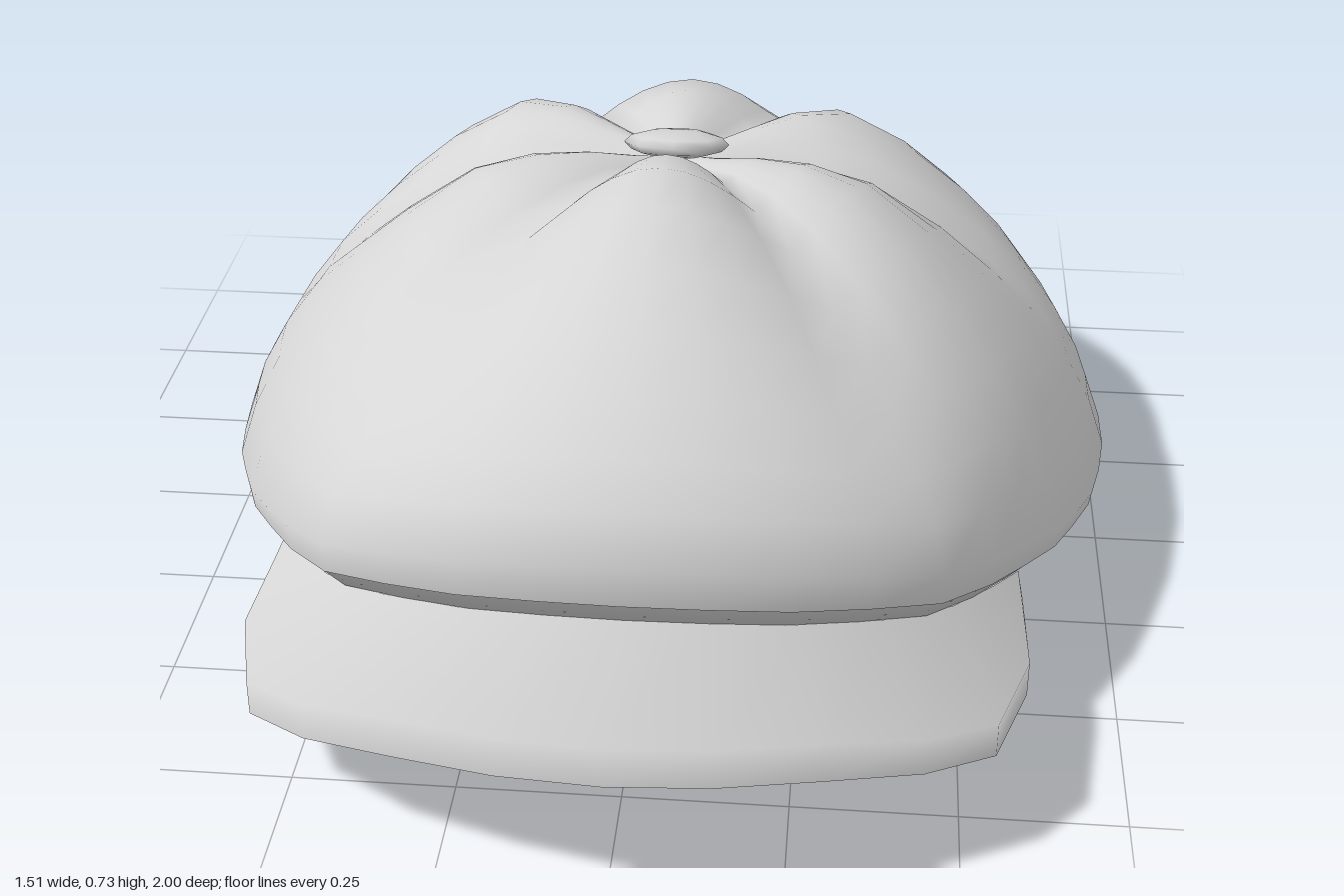
import * as THREE from 'three';

const SEG = 48;
const CENTRE_Z = -0.2;

// Plan radius about the button, every 15 degrees from front to back
const RADII = [0.95, 0.948, 0.93, 0.85, 0.797, 0.77, 0.757, 0.747, 0.753, 0.76, 0.77, 0.787, 0.8];

function planRadius(angle) {
  const k = Math.acos(Math.cos(angle)) / (Math.PI / 12);
  const i = Math.min(11, Math.floor(k));
  return THREE.MathUtils.lerp(RADII[i], RADII[i + 1], k - i);
}

// Rings: [share of plan radius, height at front, at side, at back, puff of the panels]
const RIM = [0.995, 0.345, 0.11, 0.06, 0];
const HEM = [0.95, 0.29, 0.072, 0, 0];
const OPENING = [0.885, 0.3, 0.085, 0.015, 0];
const SWEATBAND = [0.87, 0.335, 0.12, 0.052, 0];
const VISOR_ROOT = [0.885, 0.275, 0.065, 0, 0];
const CROWN = [
  [0, 0.61, 0.61, 0.61, 1], [0.1, 0.645, 0.62, 0.61, 1], [0.2, 0.7, 0.635, 0.61, 1],
  [0.32, 0.73, 0.645, 0.618, 1], [0.45, 0.72, 0.632, 0.595, 1], [0.6, 0.69, 0.56, 0.51, 1],
  [0.72, 0.645, 0.48, 0.42, 1], [0.82, 0.59, 0.4, 0.322, 1], [0.9, 0.535, 0.312, 0.24, 1],
  [0.96, 0.48, 0.222, 0.175, 1], [1, 0.41, 0.13, 0.115, 1], RIM,
];
const BAND = [RIM, [0.962, 0.328, 0.09, 0.035, 0], HEM, OPENING];
const LINING = [
  OPENING, SWEATBAND,
  ...CROWN.slice(0, 10).reverse().map(([s, f, d, b, puff]) =>
    [s * 0.975, f - 0.015, d - 0.015, b - 0.015, puff]),
];

// Point on a ring, with the six sewn panels puffed between their seams
function ringPoint([s, front, side, back, puff], angle) {
  const c = Math.cos(angle);
  const wf = Math.max(c, 0) ** 2.4;
  const wb = Math.max(-c, 0) ** 2;
  const seam = 1 - Math.abs(Math.cos(3 * angle));
  const groove = 0.08 * Math.min(1, s / 0.36) * Math.max(0, 1 - s ** 3) * seam;
  const r = s * planRadius(angle);
  const y = front * wf + back * wb + side * (1 - wf - wb) - puff * groove;
  return [r * Math.sin(angle), y, CENTRE_Z + r * c];
}

// Grid of rows of points turned into a smooth surface
function skin(rows, closed) {
  const n = rows[0].length;
  const index = [];
  for (let j = 0; j < rows.length - 1; j++) {
    for (let i = 0; i < (closed ? n : n - 1); i++) {
      const a = j * n + i;
      const b = j * n + (i + 1) % n;
      index.push(a, a + n, b, a + n, b + n, b);
    }
  }
  const g = new THREE.BufferGeometry();
  g.setAttribute('position', new THREE.Float32BufferAttribute(rows.flat(2), 3));
  g.setIndex(index);
  g.computeVertexNormals();
  return g;
}

function loft(rings) {
  return skin(rings.map((ring) => Array.from({ length: SEG }, (_, i) =>
    ringPoint(ring, (i / SEG) * Math.PI * 2))), true);
}

// Visor half sections from the middle to one end:
// [angle along the hem, outer x, top y, bottom y, outer z]
const VISOR = [
  [0, 0, 0.295, 0.23, 1],
  [8, 0.15, 0.295, 0.23, 0.99],
  [16, 0.3, 0.285, 0.22, 0.95],
  [25, 0.44, 0.245, 0.185, 0.88],
  [34, 0.545, 0.2, 0.143, 0.78],
  [42, 0.6, 0.16, 0.1, 0.58],
  [48, 0.597, 0.15, 0.13, 0.4],
];
const SECTIONS = [
  ...VISOR.slice(1).reverse().map(([a, x, top, bottom, z]) => [-a, -x, top, bottom, z]),
  ...VISOR,
];
const hemRow = (ring) => SECTIONS.map(([a]) => ringPoint(ring, THREE.MathUtils.degToRad(a)));
const lowerEdge = SECTIONS.map(([, x, , bottom, z]) => [x, bottom, z]);

// Upper face and front edge, their normals rolled softly outward
function visorTop() {
  const g = skin([hemRow(HEM), SECTIONS.map(([, x, top, , z]) => [x, top, z]), lowerEdge], false);
  const p = g.attributes.position;
  const v = new THREE.Vector3();
  for (let i = 0; i < p.count; i++) {
    v.set(p.getX(i), 0, p.getZ(i) - 0.1).normalize();
    v.y = [0.8, 0.75, 0.15][Math.floor(i / SECTIONS.length)];
    v.normalize();
    g.attributes.normal.setXYZ(i, v.x, v.y, v.z);
  }
  return g;
}

export function createModel() {
  const cap = new THREE.Group();
  cap.name = 'flatCap';
  const cloth = new THREE.MeshStandardMaterial({ color: 0xd6d6d6, side: THREE.DoubleSide });
  cloth.name = 'grey cloth';

  const add = (name, geometry) => {
    const mesh = new THREE.Mesh(geometry, cloth);
    mesh.name = name;
    cap.add(mesh);
    return mesh;
  };

  add('crown', loft(CROWN));
  add('hemBand', loft(BAND));
  add('lining', loft(LINING));
  add('visor', visorTop());
  add('visorUnderside', skin([lowerEdge, hemRow(VISOR_ROOT)], false));
  add('visorLip', skin([hemRow(VISOR_ROOT), hemRow(OPENING)], false));

  // Flattened button on top, leaning back
  const button = add('button', new THREE.SphereGeometry(0.09, 8, 6));
  button.scale.set(1, 0.27, 0.8);
  button.position.set(0, 0.632, CENTRE_Z);
  button.rotation.x = -0.28;

  return cap;
}
